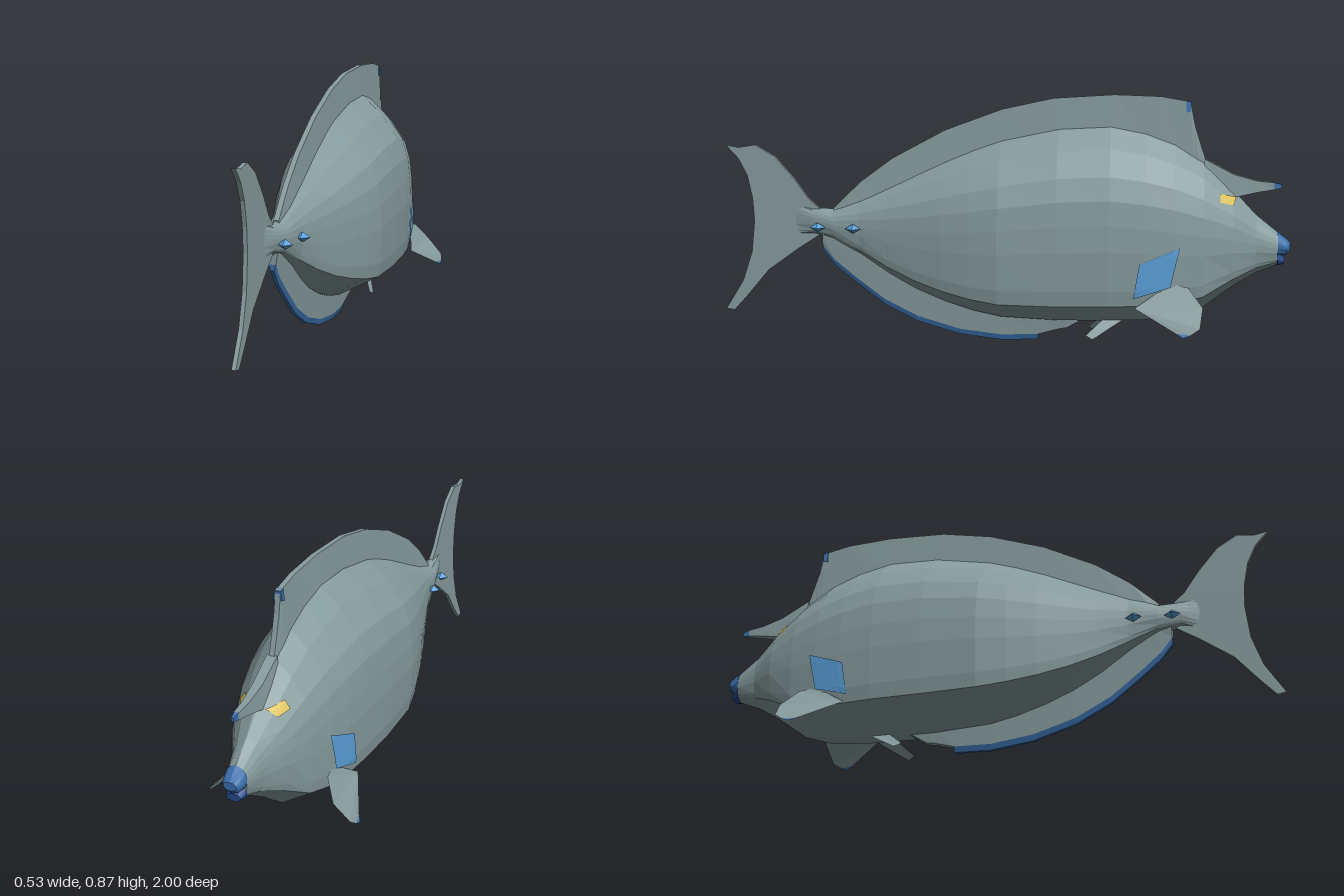
import * as THREE from 'three';

const mat = (name, color, extra = {}) => {
  const m = new THREE.MeshStandardMaterial({ color, flatShading: true, ...extra });
  m.name = name;
  return m;
};

// Body stations: z, bottom, top, half width, squareness (0 = oval section)
const STATIONS = [
  [-0.955, 0.295, 0.41, 0.036, 0], [-0.88, 0.265, 0.47, 0.056, 0.3],
  [-0.8, 0.215, 0.555, 0.1, 0.6], [-0.7, 0.14, 0.65, 0.135, 0.9],
  [-0.6, 0.107, 0.71, 0.158, 1], [-0.5, 0.095, 0.745, 0.174, 1],
  [-0.38, 0.09, 0.768, 0.186, 1], [-0.2, 0.087, 0.758, 0.191, 1],
  [0, 0.095, 0.715, 0.187, 1], [0.1, 0.115, 0.68, 0.168, 1],
  [0.2, 0.145, 0.64, 0.143, 1], [0.3, 0.185, 0.595, 0.113, 1],
  [0.4, 0.237, 0.55, 0.083, 0.9], [0.5, 0.3, 0.505, 0.056, 0.6],
  [0.6, 0.355, 0.465, 0.042, 0.2], [0.67, 0.372, 0.468, 0.025, 0],
  [0.74, 0.36, 0.48, 0.006, 0],
];
// Section: height fraction, width fraction
const SECTION = [[0, 0.17], [0.12, 0.94], [0.2, 0.98], [0.4, 1], [0.53, 0.98],
  [0.655, 0.93], [0.77, 0.8], [0.9, 0.46], [1, 0.08]];

const { lerp } = THREE.MathUtils;
const widthAt = (t, k) => {
  let i = 0;
  while (i < SECTION.length - 2 && t > SECTION[i + 1][0]) i++;
  const [t0, w0] = SECTION[i], [t1, w1] = SECTION[i + 1];
  const oval = 2 * Math.sqrt(Math.max(0, t * (1 - t)));
  return lerp(oval, lerp(w0, w1, (t - t0) / (t1 - t0)), k);
};
// Half width of the body at a given z and y
function surfaceX(z, y) {
  let i = 0;
  while (i < STATIONS.length - 2 && z > STATIONS[i + 1][0]) i++;
  const a = STATIONS[i], b = STATIONS[i + 1];
  const f = (z - a[0]) / (b[0] - a[0]);
  const [, lo, hi, w, k] = a.map((v, n) => lerp(v, b[n], f));
  return w * widthAt(THREE.MathUtils.clamp((y - lo) / (hi - lo), 0, 1), k);
}

function buffer(pos, idx) {
  const g = new THREE.BufferGeometry();
  g.setAttribute('position', new THREE.Float32BufferAttribute(pos, 3));
  g.setIndex(idx);
  g.computeVertexNormals();
  return g;
}
// Closed skin over rings of points that run counterclockwise seen from +z
function loft(rings) {
  const n = rings[0].length, last = (rings.length - 1) * n, idx = [];
  for (let i = 0; i < rings.length - 1; i++) {
    for (let j = 0; j < n; j++) {
      const a = i * n + j, b = i * n + (j + 1) % n;
      idx.push(a, b, b + n, a, b + n, a + n);
    }
  }
  for (let j = 1; j < n - 1; j++) idx.push(0, j + 1, j, last, last + j, last + j + 1);
  return buffer(rings.flat(2), idx);
}
const bodyLoft = (stations) => loft(stations.map(([z, lo, hi, w, k]) => {
  const side = SECTION.map(([t]) => [w * widthAt(t, k), lerp(lo, hi, t), z]);
  return [...side, ...side.map(([x, y]) => [-x, y, z]).reverse()];
}));
// Blade on the centre line: z, low y, high y, low half thickness, high half thickness
const blade = (rows) => loft(rows.map(([z, lo, hi, a, b]) =>
  [[a, lo, z], [b, hi, z], [-b, hi, z], [-a, lo, z]]));
// Flat polygon fan
const sheet = (pts, s) => buffer(pts.flatMap(([x, y, z]) => [x * s, y, z]),
  pts.slice(2).flatMap((_, i) => [0, i + 1, i + 2]));
// Painted patch that follows the body, from four (z, y) corners
function patch(c, s, n = 6) {
  const pos = [], idx = [];
  for (let i = 0; i <= n; i++) {
    for (let j = 0; j <= n; j++) {
      const u = i / n, v = j / n;
      const [z, y] = [0, 1].map((q) => lerp(lerp(c[0][q], c[1][q], u), lerp(c[3][q], c[2][q], u), v));
      pos.push(s * (surfaceX(z, y) + 0.005), y, z);
      if (i < n && j < n) {
        const a = i * (n + 1) + j;
        idx.push(a, a + 1, a + n + 2, a, a + n + 2, a + n + 1);
      }
    }
  }
  return buffer(pos, idx);
}

export function createModel() {
  const group = new THREE.Group();
  const grey = mat('grey skin', 0x869b9d);
  const greyFin = mat('grey fin', 0x869b9d, { side: THREE.DoubleSide });
  const blue = mat('bright blue', 0x5aa0da, { side: THREE.DoubleSide });
  const deepBlue = mat('deep blue', 0x3a70ac, { side: THREE.DoubleSide });
  const navy = mat('navy lips', 0x24488c);
  const yellow = mat('yellow eye', 0xdcc158, { side: THREE.DoubleSide });
  const add = (name, geo, m) => {
    const mesh = new THREE.Mesh(geo, m);
    mesh.name = name;
    group.add(mesh);
    return mesh;
  };

  add('body', bodyLoft(STATIONS), grey);

  // Small mouth with two lips
  add('upperLip', bodyLoft([[-0.998, 0.345, 0.375, 0.022, 0], [-0.985, 0.33, 0.388, 0.032, 0],
    [-0.955, 0.325, 0.411, 0.037, 0]]), deepBlue);
  add('lowerLip', bodyLoft([[-0.978, 0.298, 0.325, 0.024, 0], [-0.955, 0.294, 0.345, 0.035, 0]]), navy);

  // Forehead horn
  add('horn', blade([[-0.94, 0.558, 0.582, 0.008, 0.008], [-0.88, 0.548, 0.588, 0.014, 0.012],
    [-0.8, 0.53, 0.61, 0.022, 0.016], [-0.7, 0.55, 0.662, 0.03, 0.018]]), grey);
  add('hornTip', blade([[-0.965, 0.562, 0.576, 0.004, 0.004], [-0.94, 0.558, 0.582, 0.008, 0.008]]), deepBlue);

  // Long dorsal fin: z, top
  const dorsal = [[-0.705, 0.655], [-0.685, 0.715], [-0.665, 0.78], [-0.65, 0.857], [-0.55, 0.874],
    [-0.39, 0.879], [-0.18, 0.865], [0, 0.825], [0.2, 0.75], [0.385, 0.65], [0.5, 0.565], [0.6, 0.468]];
  add('dorsalFin', blade(dorsal.map(([z, top]) => {
    const base = z < -0.4 ? 0.75 + (z + 0.4) * 0.42 : lerp(0.75, 0.44, Math.pow((z + 0.4), 1.6));
    return [z, Math.min(base, top) - 0.02, top, 0.017, 0.009];
  })), grey);
  add('dorsalSpot', blade([[-0.652, 0.825, 0.855, 0.015, 0.012], [-0.635, 0.82, 0.86, 0.015, 0.012]]), deepBlue);

  // Anal fin with a blue margin: z, body edge, lower edge
  const anal = [[-0.3, 0.1, 0.075], [-0.23, 0.1, 0.035], [-0.2, 0.1, 0.03], [-0.13, 0.1, 0.01],
    [0, 0.11, 0.005], [0.15, 0.14, 0.022], [0.3, 0.2, 0.065], [0.42, 0.26, 0.125],
    [0.52, 0.32, 0.2], [0.6, 0.365, 0.265], [0.64, 0.375, 0.315]];
  add('analFin', blade(anal.map(([z, hi, lo]) => [z, lo + 0.02, hi, 0.012, 0.018])), grey);
  add('analFinMargin', blade(anal.slice(3).map(([z, , lo]) => [z, lo, lo + 0.02, 0.006, 0.012])), deepBlue);

  // Crescent tail
  const tail = new THREE.Shape([[0.65, 0.465], [0.69, 0.5], [0.74, 0.57], [0.81, 0.65], [0.88, 0.69],
    [0.94, 0.68], [0.985, 0.688], [0.94, 0.64], [0.91, 0.58], [0.893, 0.5], [0.888, 0.42], [0.9, 0.305],
    [0.935, 0.2], [1, 0.095], [0.97, 0.09], [0.92, 0.145], [0.84, 0.24], [0.73, 0.32], [0.65, 0.372],
  ].map(([z, y]) => new THREE.Vector2(z, y)));
  add('tailFin', new THREE.ExtrudeGeometry(tail, { depth: 0.014, bevelEnabled: false })
    .rotateY(-Math.PI / 2).translate(0.007, 0, 0), grey);

  // Mirrored details
  for (const s of [1, -1]) {
    const side = s > 0 ? 'left' : 'right';
    add(`${side}PectoralFin`, sheet([[0.185, 0.17, -0.47], [0.15, 0.25, -0.59], [0.158, 0.24, -0.65],
      [0.2, 0.18, -0.7], [0.255, 0.12, -0.69], [0.262, 0.1, -0.66], [0.25, 0.102, -0.61]], s), greyFin);
    add(`${side}PectoralTip`, sheet([[0.262, 0.1, -0.66], [0.25, 0.102, -0.61], [0.265, 0.09, -0.635]], s), deepBlue);
    add(`${side}PelvicFin`, sheet([[0.033, 0.095, -0.43], [0.033, 0.095, -0.36],
      [0.066, 0.042, -0.3], [0.075, 0.03, -0.325]], s), greyFin);
    add(`${side}CheekPatch`, patch([[-0.465, 0.2], [-0.485, 0.32], [-0.62, 0.375], [-0.59, 0.24]], s), blue);
    add(`${side}Eye`, patch([[-0.755, 0.522], [-0.755, 0.55], [-0.81, 0.535], [-0.8, 0.51]], s, 3), yellow);
    // Paired spines beside the tail root
    for (const [z, x] of [[0.52, 0.062], [0.65, 0.046]]) {
      const spine = add(`${side}TailSpine`, new THREE.OctahedronGeometry(1), blue);
      spine.scale.set(0.026, 0.017, 0.028);
      spine.position.set(s * x, 0.404, z);
    }
  }
  return group;
}
